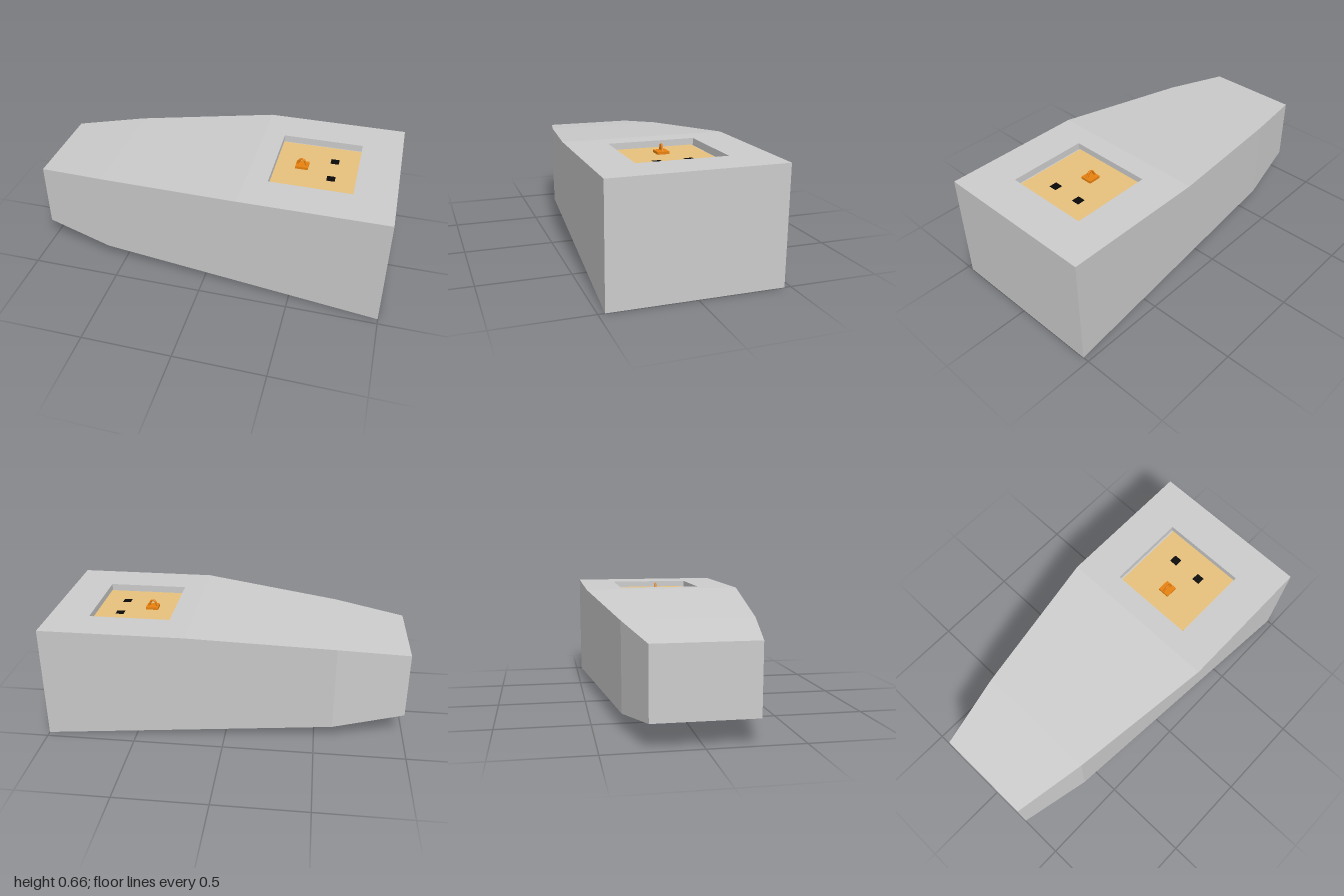
import * as THREE from 'three';

const material = (color, side = THREE.FrontSide) => new THREE.MeshStandardMaterial({ color, side });

function addMesh(parent, name, geometry, mat, x = 0, y = 0, z = 0) {
  const mesh = new THREE.Mesh(geometry, mat);
  mesh.name = name;
  mesh.position.set(x, y, z);
  parent.add(mesh);
  return mesh;
}

// Geometry from many-cornered faces, each fanned from its first corner and
// shaded with one average normal; corners counter-clockwise seen from outside
function facesGeometry(faces) {
  const points = [], normals = [];
  for (const face of faces) {
    const v = face.map((p) => new THREE.Vector3(...p));
    const normal = new THREE.Vector3();
    v.forEach((p, i) => normal.add(p.clone().cross(v[(i + 1) % v.length])));
    normal.normalize();
    for (let i = 1; i < v.length - 1; i++) {
      for (const p of [v[0], v[i], v[i + 1]]) {
        points.push(...p.toArray());
        normals.push(...normal.toArray());
      }
    }
  }
  const geometry = new THREE.BufferGeometry();
  geometry.setAttribute('position', new THREE.Float32BufferAttribute(points, 3));
  geometry.setAttribute('normal', new THREE.Float32BufferAttribute(normals, 3));
  return geometry;
}

export function createModel() {
  const model = new THREE.Group();
  model.name = 'taperedHull';
  const grey = material(0xcccccc);
  const orange = material(0xe8820f, THREE.DoubleSide);
  const black = material(0x080808);

  // Hull outline on the +z side: x, y, half width
  const top = 0.64, halfWidth = 0.465;
  const tipTop = [-1, 0.507, 0.27], tipLow = [-1, 0.135, 0.27];
  const kneeTop = [-0.6, 0.56, 0.35], kneeLow = [-0.6, 0.08, 0.35];
  const shoulder = [0.2, top, halfWidth];
  const endTop = [1, top, halfWidth], endLow = [1, 0, halfWidth];
  const mirror = ([x, y, z]) => [x, y, -z];
  const across = (a, b) => [a, b, mirror(b), mirror(a)];

  // Sides: the long face runs from knee to end in one piece
  const sides = [
    [tipLow, kneeLow, kneeTop, tipTop],
    [shoulder, kneeTop, kneeLow, endLow, endTop],
  ];
  const faces = [
    ...sides,
    ...sides.map((f) => [f[0], ...f.slice(1).reverse()].map(mirror)),
    across(tipTop, kneeTop),
    across(kneeTop, shoulder),
    across(endTop, endLow),
    across(endLow, kneeLow),
    across(kneeLow, tipLow),
    across(tipLow, tipTop),
  ];
  addMesh(model, 'hull', facesGeometry(faces), grey);

  // Flat deck with a rectangular opening
  const x0 = 0.321, x1 = 0.775, hz = 0.244, floorY = 0.6;
  const rect = (path, l, r, h) =>
    path.moveTo(l, -h).lineTo(r, -h).lineTo(r, h).lineTo(l, h).closePath();
  const deckShape = rect(new THREE.Shape(), 0.2, 1, halfWidth);
  deckShape.holes.push(rect(new THREE.Path(), x0, x1, hz));
  addMesh(model, 'deck', new THREE.ShapeGeometry(deckShape).rotateX(-Math.PI / 2), grey, 0, top, 0);

  // Recess walls and floor, facing inwards
  const rim = [[x0, hz], [x1, hz], [x1, -hz], [x0, -hz]];
  const at = ([x, z], y) => [x, y, z];
  const recess = rim.map((p, i) => {
    const q = rim[(i + 1) % 4];
    return [at(q, floorY), at(p, floorY), at(p, top), at(q, top)];
  });
  recess.push(rim.map((p) => at(p, floorY)));
  addMesh(model, 'recess', facesGeometry(recess), grey);

  // Tan panel lying in the recess
  const panelTop = floorY + 0.004;
  addMesh(model, 'panel', new THREE.BoxGeometry(x1 - x0, 0.008, 0.468), material(0xe6c17c),
    (x0 + x1) / 2, floorY, 0);

  // Two black squares
  for (const z of [-0.092, 0.081]) {
    addMesh(model, 'blackSquare', new THREE.BoxGeometry(0.046, 0.002, 0.046), black, 0.639, panelTop, z);
  }

  // Small plate carrying an upright arched handle with spread feet
  const handle = new THREE.Group();
  handle.name = 'handle';
  handle.position.set(0.467, panelTop, -0.003);
  addMesh(handle, 'handlePlate', new THREE.BoxGeometry(0.07, 0.014, 0.066), orange, 0, 0.007, 0);
  const arch = new THREE.CatmullRomCurve3(
    [[-0.028, 0.012], [-0.018, 0.028], [-0.012, 0.041], [0, 0.046], [0.012, 0.041], [0.018, 0.028], [0.028, 0.012]]
      .map(([x, y]) => new THREE.Vector3(x, y, 0)));
  addMesh(handle, 'handleArch', new THREE.TubeGeometry(arch, 20, 0.006, 8), orange, -0.002).rotation.y = -0.08;
  model.add(handle);

  return model;
}
